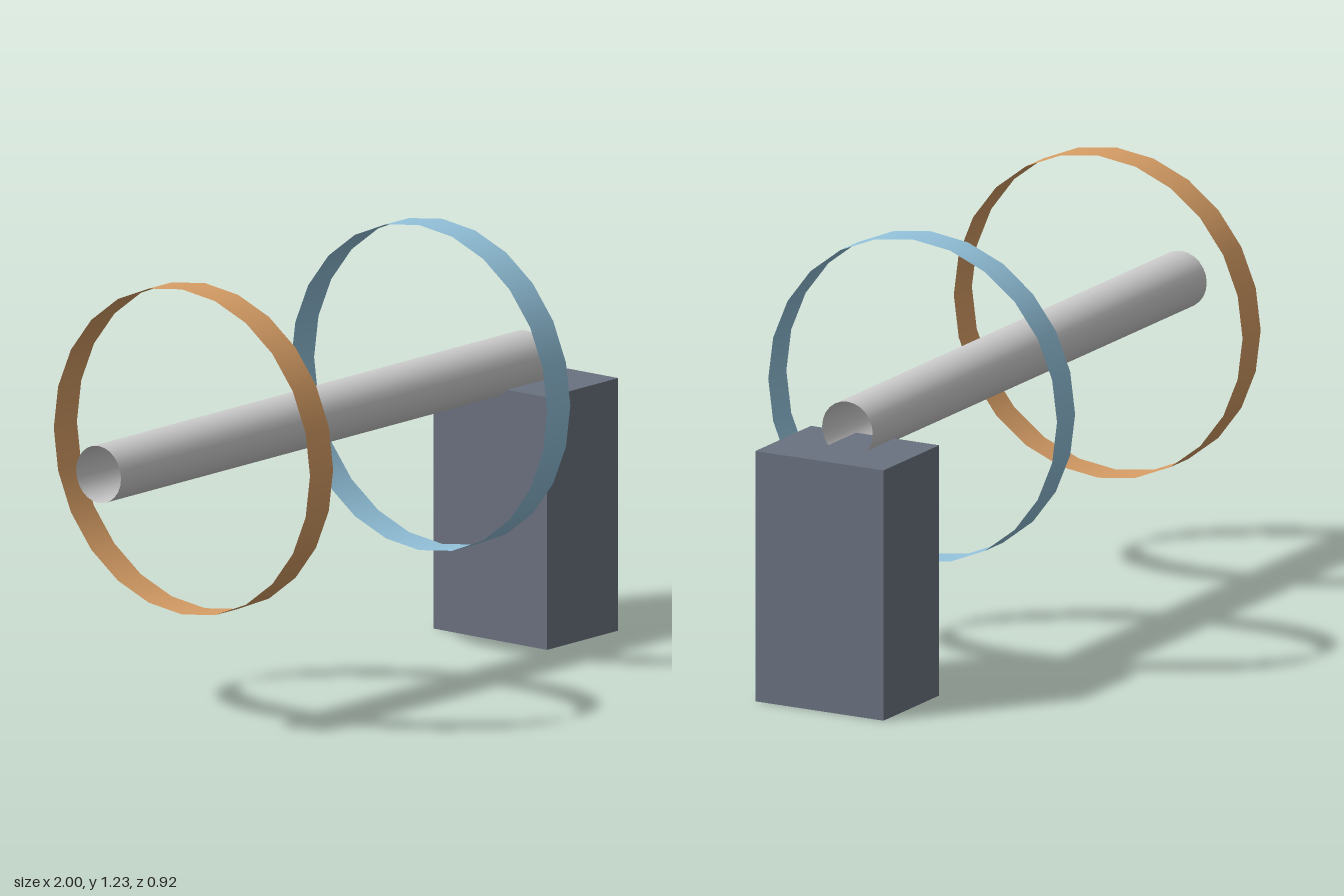
import * as THREE from 'three';

const AXIS_Y = 0.77;

// Open, thin-walled cylinder lying along x
function openTube(name, radius, x0, x1, color) {
  const geometry = new THREE.CylinderGeometry(radius, radius, x1 - x0, 24, 1, true);
  geometry.rotateZ(-Math.PI / 2);
  const material = new THREE.MeshStandardMaterial({ color, side: THREE.DoubleSide });
  const mesh = new THREE.Mesh(geometry, material);
  mesh.name = name;
  mesh.position.set((x0 + x1) / 2, AXIS_Y, 0);
  return mesh;
}

export function createModel() {
  const model = new THREE.Group();
  model.name = 'ringsOnShaft';

  // Hollow shaft, its end sunk slightly into the stand
  model.add(openTube('shaft', 0.081, -1, 0.845, 0xcccccc));

  // Two wide hoops around the shaft
  model.add(openTube('orangeRing', 0.462, -0.64, -0.54, 0xd69d65));
  model.add(openTube('blueRing', 0.462, 0.385, 0.485, 0x92c1da));

  // Block stand under one end
  const stand = new THREE.Mesh(
    new THREE.BoxGeometry(0.308, 0.718, 0.41),
    new THREE.MeshStandardMaterial({ color: 0x6b7280 })
  );
  stand.name = 'stand';
  stand.position.set(0.846, 0.359, 0);
  model.add(stand);

  return model;
}
